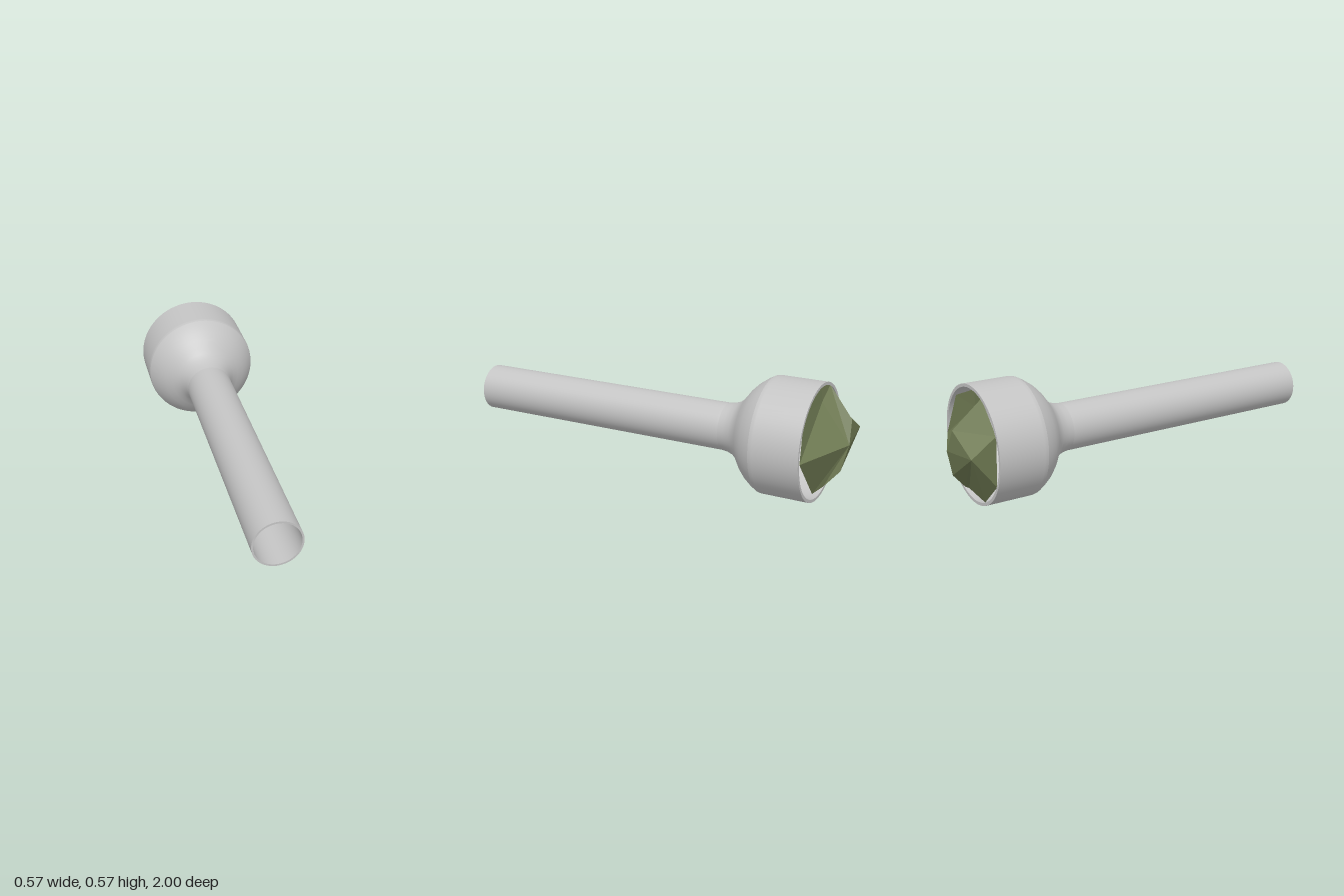
import * as THREE from 'three';

const CENTER_Y = 0.2865;

export function createModel() {
  const model = new THREE.Group();
  const metal = new THREE.MeshStandardMaterial({ color: 0xc4c4c4 });
  metal.name = 'paleGrey';
  const green = new THREE.MeshStandardMaterial({ color: 0x6f7a53, side: THREE.DoubleSide });
  green.name = 'olive';

  const add = (name, geometry, material) => {
    const mesh = new THREE.Mesh(geometry, material);
    mesh.name = name;
    model.add(mesh);
    return mesh;
  };

  // Surface of revolution along the pipe axis; points are [radius, distance towards the back]
  const turned = (name, points) => {
    const geometry = new THREE.LatheGeometry(points.map(([r, d]) => new THREE.Vector2(r, d)), 72);
    geometry.rotateX(-Math.PI / 2).translate(0, CENTER_Y, 0);
    return add(name, geometry, metal);
  };

  // Flare between the slim pipe and the wide cup
  const flare = [
    [0.117, 0.39], [0.121, 0.42], [0.133, 0.455], [0.155, 0.483], [0.182, 0.505],
    [0.215, 0.53], [0.245, 0.56], [0.27, 0.595], [0.284, 0.62],
  ];
  const innerFlare = flare.map(([r, d]) => [r - 0.009 - 0.006 * (r - 0.117) / 0.169, d + 0.01]);

  turned('pipeOuter', [[0.117, -1], [0.117, 0.38], [0.117, 0.385], flare[0]]);
  turned('flareOuter', flare);
  turned('cupOuter', [[0.284, 0.62], [0.2865, 0.632], [0.2865, 0.64], [0.2865, 0.865]]);
  turned('pipeInner', [innerFlare[0], [0.108, 0.385], [0.108, -1]]);
  turned('cupInner', [[0.2715, 0.865], [0.2715, 0.65], ...innerFlare.slice().reverse()]);
  turned('pipeRim', [[0.108, -1], [0.117, -1]]);
  turned('cupRim', [[0.2865, 0.865], [0.2715, 0.865]]);

  // Faceted stone shell held in the cup
  const v = {
    tip: [-0.02, 0.29, -1], ridge: [-0.07, 0.4, -0.99], top: [-0.113, 0.538, -0.862],
    notch: [-0.03, 0.477, -0.855], right: [0.275, 0.27, -0.868], bottom: [0.065, 0.05, -0.862],
    lower: [0.025, 0.08, -0.9], belly: [-0.002, 0.16, -0.97], peak: [-0.24, 0.31, -0.98],
    side: [-0.25, 0.4, -0.862], rimTop: [-0.02, 0.557, -0.85], rimRight: [0.19, 0.477, -0.85],
    rimLow: [-0.1, 0.035, -0.86], rimLeft: [-0.235, 0.155, -0.86],
  };
  const faces = [
    ['tip', 'ridge', 'top', 'notch', 'right'],
    ['notch', 'top', 'rimTop', 'rimRight', 'right'],
    ['tip', 'right', 'bottom', 'lower', 'belly'],
    ['tip', 'belly', 'peak', 'ridge'],
    ['ridge', 'peak', 'side', 'top'],
    ['belly', 'lower', 'peak'],
    ['peak', 'lower', 'bottom', 'rimLow', 'rimLeft', 'side'],
  ];
  const positions = [];
  for (const face of faces) {
    for (let i = 1; i < face.length - 1; i++) {
      positions.push(...v[face[0]], ...v[face[i]], ...v[face[i + 1]]);
    }
  }
  const stone = new THREE.BufferGeometry();
  stone.setAttribute('position', new THREE.Float32BufferAttribute(positions, 3));
  stone.computeVertexNormals();
  add('stone', stone, green);

  return model;
}
